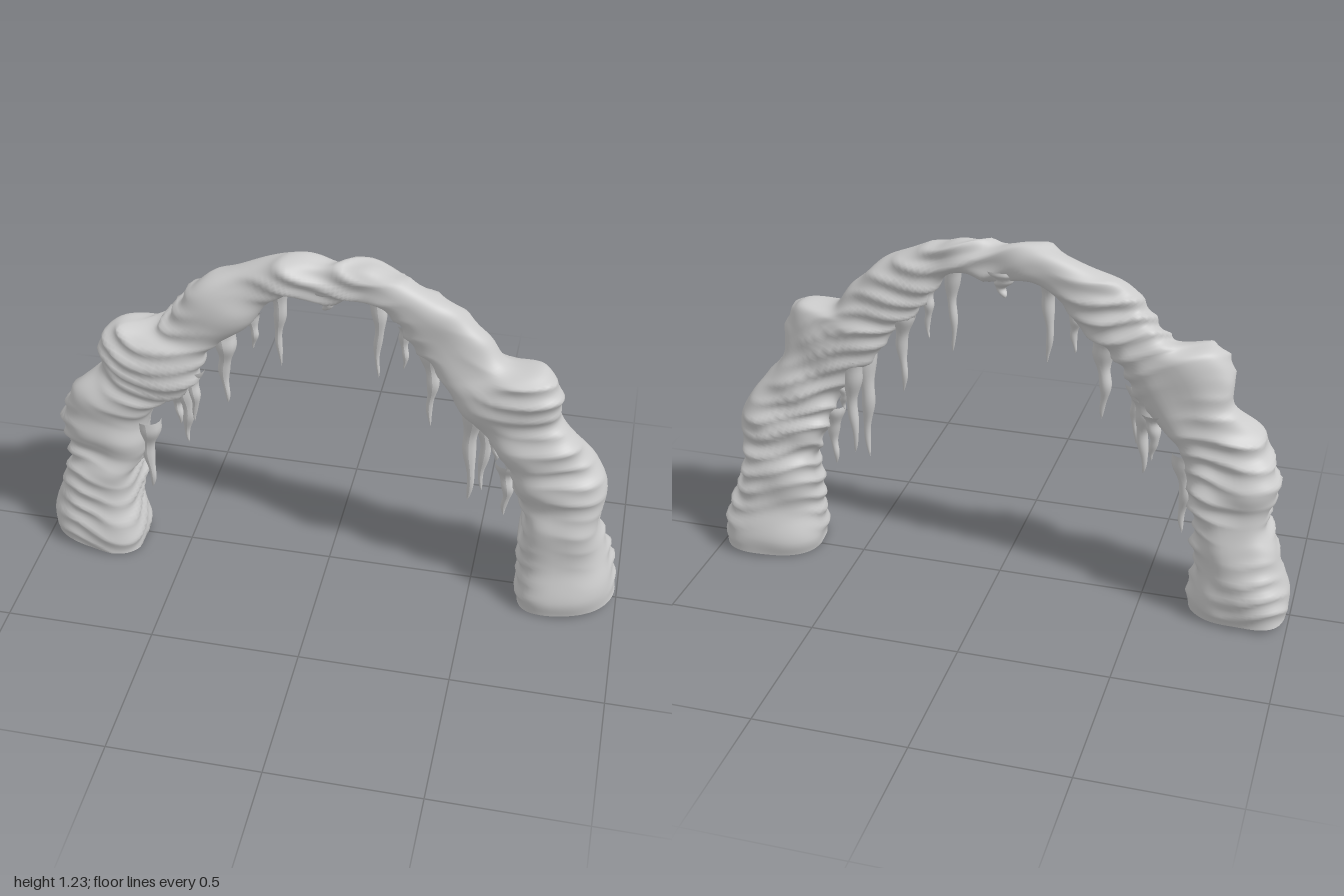
import * as THREE from 'three';

// Stations from foot to crown: outer x, y, front z, inner x, y, back z
const LEFT = [
  [-0.99, 0.03, 0.14, -0.66, 0.01, -0.14], [-0.99, 0.1, 0.15, -0.65, 0.07, -0.15],
  [-0.96, 0.2, 0.13, -0.67, 0.18, -0.14], [-0.945, 0.28, 0.12, -0.665, 0.27, -0.13],
  [-0.91, 0.35, 0.12, -0.67, 0.33, -0.11], [-0.915, 0.43, 0.1, -0.64, 0.39, -0.1],
  [-0.925, 0.5, 0.115, -0.63, 0.46, -0.11], [-0.9, 0.59, 0.1, -0.62, 0.53, -0.08],
  [-0.85, 0.67, 0.11, -0.59, 0.59, -0.065], [-0.765, 0.745, 0.1, -0.53, 0.64, -0.06],
  [-0.765, 0.85, 0.125, -0.45, 0.72, -0.055], [-0.7, 0.935, 0.115, -0.41, 0.82, -0.055],
  [-0.58, 0.945, 0.09, -0.37, 0.88, -0.055], [-0.5, 1.03, 0.08, -0.31, 0.93, -0.06],
  [-0.42, 1.115, 0.08, -0.25, 0.99, -0.055], [-0.3, 1.17, 0.065, -0.2, 1.06, -0.06],
  [-0.14, 1.23, 0.07, -0.11, 1.11, -0.06],
];
const RIGHT = [
  [0.99, 0.03, 0.14, 0.66, 0.01, -0.14], [0.98, 0.1, 0.15, 0.65, 0.06, -0.15],
  [0.96, 0.2, 0.13, 0.66, 0.18, -0.13], [0.94, 0.27, 0.125, 0.66, 0.27, -0.13],
  [0.915, 0.35, 0.12, 0.66, 0.35, -0.12], [0.915, 0.43, 0.1, 0.64, 0.41, -0.1],
  [0.91, 0.52, 0.12, 0.61, 0.48, -0.11], [0.88, 0.6, 0.1, 0.59, 0.55, -0.075],
  [0.82, 0.67, 0.11, 0.56, 0.62, -0.065], [0.755, 0.75, 0.1, 0.51, 0.68, -0.055],
  [0.755, 0.86, 0.125, 0.44, 0.76, -0.055], [0.7, 0.935, 0.115, 0.4, 0.83, -0.055],
  [0.57, 0.945, 0.09, 0.36, 0.88, -0.055], [0.5, 1.035, 0.08, 0.3, 0.94, -0.06],
  [0.42, 1.105, 0.075, 0.25, 1.0, -0.055], [0.3, 1.17, 0.07, 0.2, 1.07, -0.055],
  [0.14, 1.23, 0.06, 0.11, 1.11, -0.065],
];

// Hanging spikes: x, z, top y, tip y, radius
const SPIKES = [
  [-0.62, 0.03, 0.55, 0.25, 0.035], [-0.48, 0.02, 0.74, 0.46, 0.036], [-0.515, 0, 0.7, 0.52, 0.03],
  [-0.45, 0.03, 0.78, 0.56, 0.028], [-0.345, 0.01, 0.93, 0.645, 0.034], [-0.245, 0.01, 1.03, 0.87, 0.024],
  [-0.16, 0.01, 1.13, 0.82, 0.027], [-0.01, 0, 1.14, 1.04, 0.045],
  [0.16, 0.01, 1.13, 0.82, 0.025], [0.245, 0.01, 1.04, 0.86, 0.022], [0.335, 0.01, 0.94, 0.65, 0.028],
  [0.475, 0.03, 0.8, 0.375, 0.036], [0.515, 0.0, 0.76, 0.4, 0.033], [0.555, 0.02, 0.68, 0.55, 0.03],
  [0.6, 0.03, 0.56, 0.33, 0.03],
];

const stone = new THREE.MeshStandardMaterial({ color: 0xcccccc });

// Smooth lumps plus slanted rock layers
function bump(x, y, z) {
  const lumps = Math.sin(13 * x + 9 * z + 2) * Math.sin(17 * y + 8 * z) + 0.6 * Math.sin(31 * z + 15 * x) * Math.sin(23 * y - 19 * x + 1);
  const layer = Math.sin(48 * y + 7 * x + 9 * z + 1.5 * Math.sin(11 * x + 14 * z));
  const patch = 0.5 + 0.5 * Math.sin(9 * x + 21 * z + 6 * y);
  return 0.008 * lumps + 0.009 * patch * (1 - 2 * Math.abs(layer));
}

function archGeometry() {
  const stations = [...LEFT, [0, 1.22, 0.045, 0, 1.085, -0.04], ...[...RIGHT].reverse()];
  const outer = new THREE.CatmullRomCurve3(stations.map(s => new THREE.Vector3(s[0], s[1], s[2])));
  const inner = new THREE.CatmullRomCurve3(stations.map(s => new THREE.Vector3(s[3], s[4], s[5])));
  const rows = 300, sides = 56, pos = [], index = [];
  const soft = v => Math.sign(v) * Math.pow(Math.abs(v), 0.78);
  for (let i = 0; i <= rows; i++) {
    const o = outer.getPoint(i / rows), n = inner.getPoint(i / rows);
    const cx = (o.x + n.x) / 2, cy = (o.y + n.y) / 2, cz = (o.z + n.z) / 2;
    const hx = (o.x - n.x) / 2, hy = (o.y - n.y) / 2, hz = (o.z - n.z) / 2;
    const half = Math.hypot(hx, hy);
    for (let j = 0; j < sides; j++) {
      const a = j / sides * Math.PI * 2, c = soft(Math.cos(a)), s = soft(Math.sin(a));
      // the feet are twisted: outer side leans to the back
      const foot = Math.max(0, 1 - cy / 0.4);
      const x = cx + hx * c, y = cy + hy * c, z = cz + hz * s - 0.03 * foot * c;
      const d = bump(x, y, z) * Math.min(1, 0.3 + cy * 4);
      pos.push(x + hx / half * Math.cos(a) * d, Math.max(0, y + hy / half * Math.cos(a) * d), z + Math.sin(a) * d);
    }
  }
  for (let i = 0; i < rows; i++) for (let j = 0; j < sides; j++) {
    const a = i * sides + j, b = i * sides + (j + 1) % sides;
    index.push(a, b, a + sides, b, b + sides, a + sides);
  }
  // separate flat caps under both feet
  for (const row of [0, rows]) {
    const start = pos.length / 3;
    let sx = 0, sy = 0, sz = 0;
    for (let j = 0; j < sides; j++) {
      const k = (row * sides + j) * 3;
      pos.push(pos[k], pos[k + 1], pos[k + 2]);
      sx += pos[k]; sy += pos[k + 1]; sz += pos[k + 2];
    }
    pos.push(sx / sides, sy / sides, sz / sides);
    for (let j = 0; j < sides; j++) {
      const a = start + j, b = start + (j + 1) % sides, m = start + sides;
      if (row === 0) index.push(m, b, a); else index.push(m, a, b);
    }
  }
  const g = new THREE.BufferGeometry();
  g.setAttribute('position', new THREE.Float32BufferAttribute(pos, 3));
  g.setIndex(index);
  g.computeVertexNormals();
  return g;
}

// Tapered, knobbly drip that flares where it joins the rock
function spikeGeometry(height, r, seed) {
  const pts = [];
  for (let i = 0; i <= 24; i++) {
    const t = i / 24;
    const w = r * (0.85 * Math.pow(t, 0.6) + 0.6 * Math.pow(t, 5)) * (1 + 0.12 * Math.sin(t * 17 + seed));
    pts.push(new THREE.Vector2(i ? w : 0, (t - 1) * height));
  }
  const g = new THREE.LatheGeometry(pts, 14), p = g.attributes.position;
  for (let i = 0; i < p.count; i++) {
    const t = 1 + p.getY(i) / height, bend = 0.18 * r * Math.sin(t * 9 + seed * 2);
    p.setX(i, p.getX(i) + bend);
    p.setZ(i, p.getZ(i) * 0.9 + bend * 0.7);
  }
  g.computeVertexNormals();
  return g;
}

export function createModel() {
  const model = new THREE.Group();
  model.name = 'stoneArch';
  const arch = new THREE.Mesh(archGeometry(), stone);
  arch.name = 'archBody';
  model.add(arch);

  const spikes = new THREE.Group();
  spikes.name = 'stalactites';
  SPIKES.forEach(([x, z, top, tip, r], i) => {
    const m = new THREE.Mesh(spikeGeometry(top - tip, r, i * 1.7), stone);
    m.name = 'stalactite';
    m.position.set(x, top, z);
    spikes.add(m);
  });
  model.add(spikes);
  return model;
}
